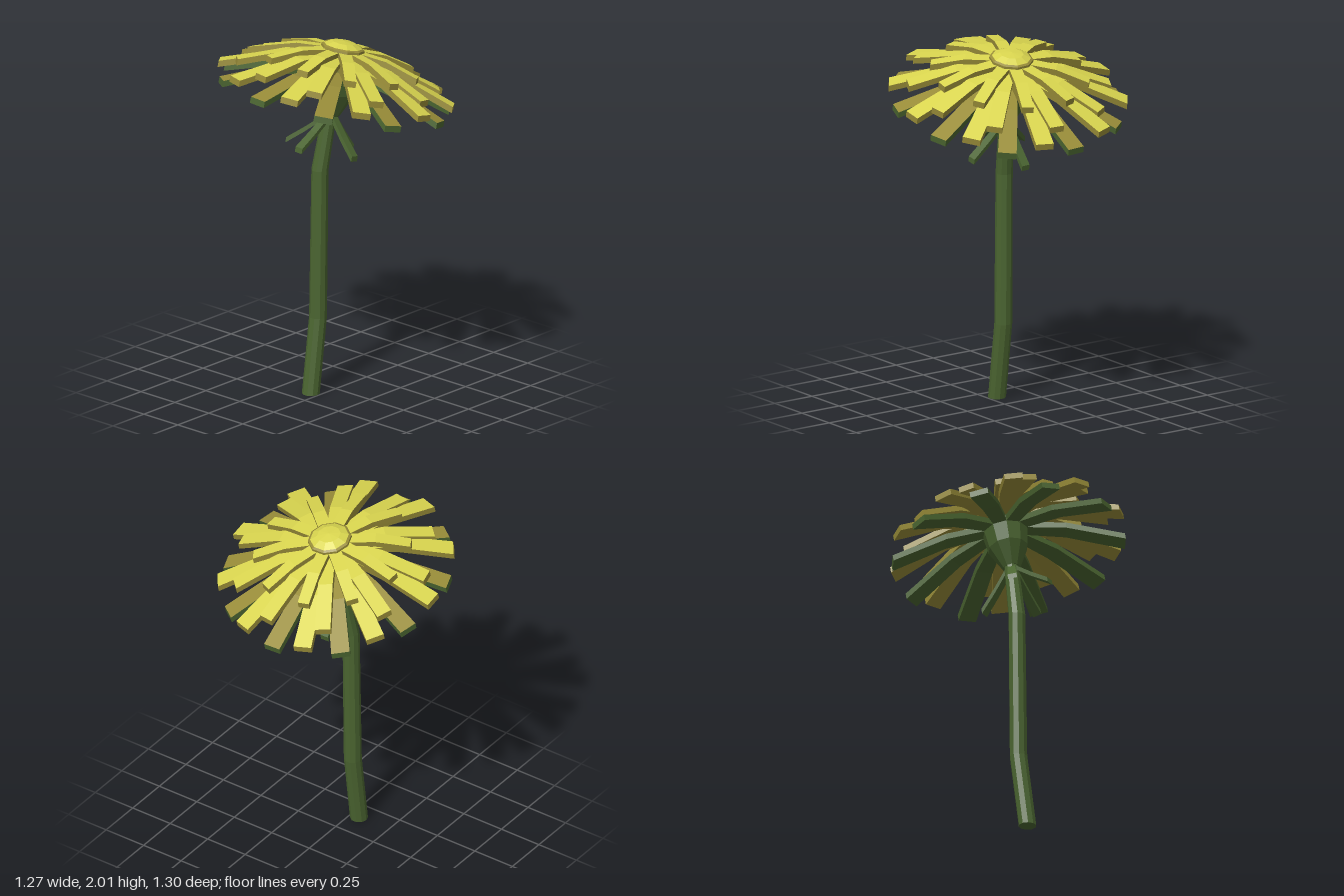
import * as THREE from 'three';

const mat = (name, color) => {
  const m = new THREE.MeshStandardMaterial({ color, flatShading: true });
  m.name = name;
  return m;
};

// Bent slat running along +x through stations [distance, height, half width].
// Group 0 is the upper face, group 1 the sides, underside and ends.
function slatGeometry(stations, thick) {
  const rings = stations.map(([r, h, w]) => [
    [r, h, w], [r, h, -w], [r, h - thick, -w], [r, h - thick, w],
  ]);
  const pos = [];
  const quad = (a, b, c, d) => pos.push(...a, ...b, ...c, ...a, ...c, ...d);
  let topCount = 0;
  for (let k = 0; k < 4; k++) {
    for (let i = 0; i < rings.length - 1; i++) {
      const a = rings[i], b = rings[i + 1], n = (k + 1) % 4;
      quad(a[k], b[k], b[n], a[n]);
    }
    if (k === 0) topCount = pos.length / 3;
  }
  const s = rings[0], e = rings[rings.length - 1];
  quad(s[0], s[1], s[2], s[3]);
  quad(e[0], e[3], e[2], e[1]);
  const g = new THREE.BufferGeometry();
  g.setAttribute('position', new THREE.Float32BufferAttribute(pos, 3));
  g.addGroup(0, topCount, 0);
  g.addGroup(topCount, pos.length / 3 - topCount, 1);
  g.computeVertexNormals();
  return g;
}

const lathe = (points, material, name) => {
  const g = new THREE.LatheGeometry(points.map(([x, y]) => new THREE.Vector2(x, y)), 10);
  const m = new THREE.Mesh(g, material);
  m.name = name;
  return m;
};

export function createModel() {
  const yellow = mat('bright yellow', 0xd8d44e);
  const ochre = mat('dull yellow', 0x988c38);
  const green = mat('leaf green', 0x4a6430);
  const flower = new THREE.Group();
  flower.name = 'flower';

  // Stem: a ten-sided cylinder whose rings follow a bent path [x, y, z, radius]
  const path = [
    [-0.143, 0, -0.053, 0.049], [-0.085, 0.43, -0.053, 0.049],
    [-0.073, 1.28, -0.05, 0.047], [-0.02, 1.61, -0.025, 0.04],
  ];
  const stemGeo = new THREE.CylinderGeometry(1, 1, 3, 10, 3);
  const p = stemGeo.attributes.position;
  for (let i = 0; i < p.count; i++) {
    const [x, y, z, r] = path[Math.round(p.getY(i) + 1.5)];
    p.setXYZ(i, x + p.getX(i) * r, y, z + p.getZ(i) * r);
  }
  stemGeo.computeVertexNormals();
  const stem = new THREE.Mesh(stemGeo, green);
  stem.name = 'stem';
  flower.add(stem);

  // Head, leaning to +x
  const head = new THREE.Group();
  head.name = 'head';
  head.position.set(-0.02, 1.59, -0.02);
  head.rotation.set(0.05, 0, -0.21);
  flower.add(head);

  head.add(lathe([[0, 0], [0.048, 0], [0.11, 0.13], [0.13, 0.27], [0, 0.27]], green, 'calyx'));
  head.add(lathe([[0.1, 0.3], [0.122, 0.35], [0.12, 0.385], [0.107, 0.392]], ochre, 'discRim'));
  head.add(lathe([[0.107, 0.392], [0.065, 0.412], [0, 0.419]], yellow, 'discDome'));

  const addSlats = (name, geo, mats, angles) => {
    const ring = new THREE.Group();
    ring.name = name + 's';
    for (const a of angles) {
      const m = new THREE.Mesh(geo, mats);
      m.name = name;
      m.rotation.y = -THREE.MathUtils.degToRad(a);
      ring.add(m);
    }
    head.add(ring);
  };

  // Four rings of ten petals, from the lowest to the innermost
  const layers = [
    ['lowerPetal', 0, [[0.08, 0.275, 0.036], [0.33, 0.235, 0.047], [0.64, 0.125, 0.051]], [ochre, green]],
    ['outerPetal', 18, [[0.08, 0.32, 0.036], [0.35, 0.29, 0.046], [0.65, 0.185, 0.051]], [yellow, ochre]],
    ['middlePetal', 8, [[0.08, 0.35, 0.036], [0.3, 0.325, 0.041], [0.56, 0.235, 0.043]], [yellow, ochre]],
    ['innerPetal', 23, [[0.08, 0.375, 0.036], [0.25, 0.36, 0.035], [0.435, 0.303, 0.033]], [yellow, ochre]],
  ];
  for (const [name, offset, stations, mats] of layers) {
    const angles = Array.from({ length: 10 }, (_, i) => offset + i * 36);
    addSlats(name, slatGeometry(stations, 0.035), mats, angles);
  }

  // Narrow bracts hanging below the calyx
  const bract = slatGeometry([[0.02, 0.01, 0.02], [0.12, -0.09, 0.023], [0.215, -0.175, 0.025]], 0.03);
  addSlats('bract', bract, [green, green], [0, 88, 180, 244]);

  return flower;
}
